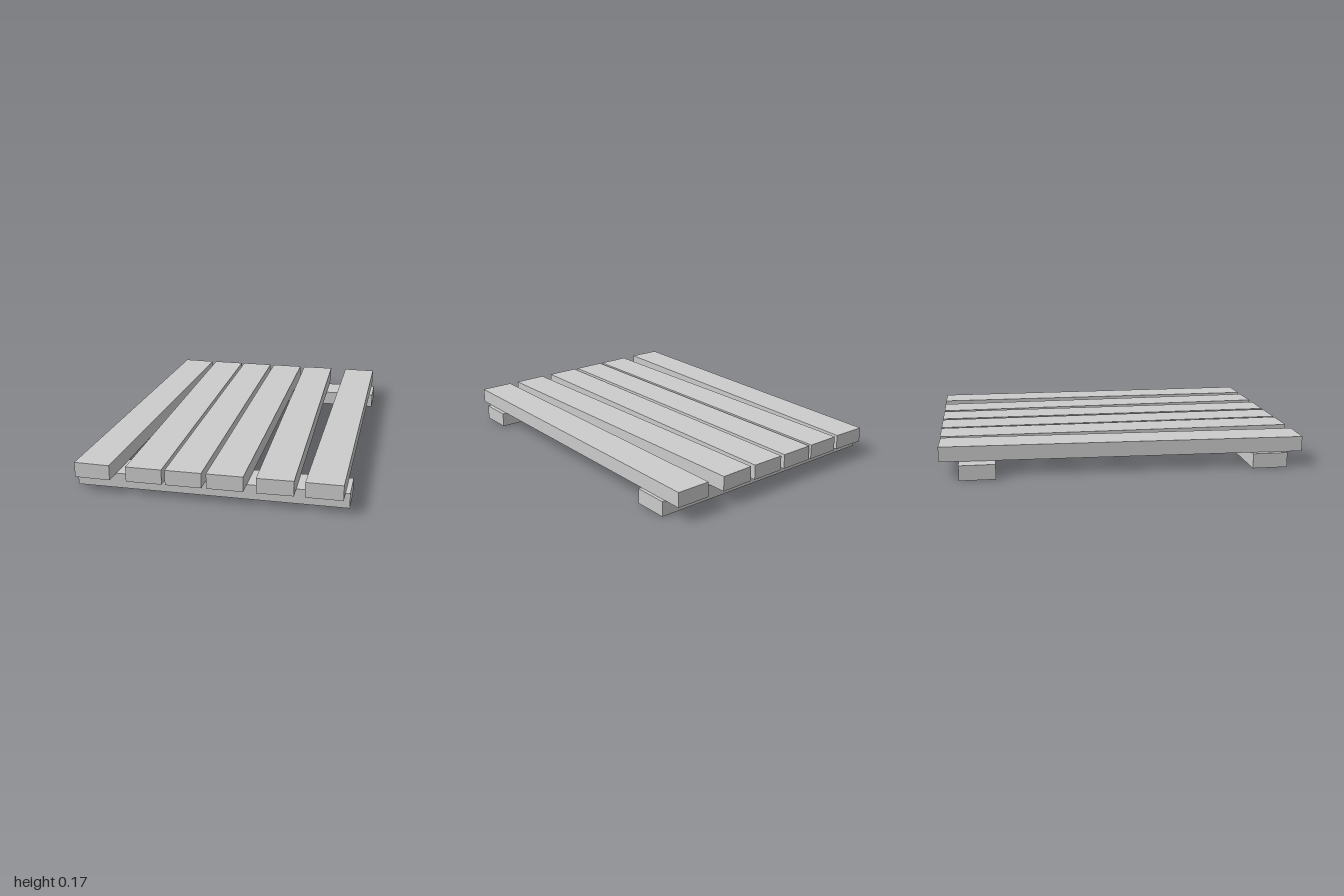
import * as THREE from 'three';

const WIDTH = 0.195, THICK = 0.083;

export function createModel() {
  const group = new THREE.Group();
  const material = new THREE.MeshStandardMaterial({ color: 0xcccccc, flatShading: true });

  const addBoard = (name, w, d, x, y, z, turn = 0) => {
    const mesh = new THREE.Mesh(new THREE.BoxGeometry(w, THICK, d), material);
    mesh.name = name;
    mesh.position.set(x, y, z);
    mesh.rotation.y = turn;
    group.add(mesh);
  };

  // Two cross rails resting on the ground
  addBoard('frontRail', 1.47, WIDTH, 0, THICK / 2, 0.807);
  addBoard('backRail', 1.47, WIDTH, 0, THICK / 2, -0.797);

  // Long planks on top: centre x and slight crooked turn
  const planks = [
    [-0.585, -0.032], [-0.333, 0], [-0.12, 0],
    [0.1, 0], [0.342, 0.0195], [0.616, -0.0035],
  ];
  planks.forEach(([x, turn], i) =>
    addBoard(`plank${i + 1}`, WIDTH, 1.995, x, THICK * 1.5, 0, turn));

  return group;
}
